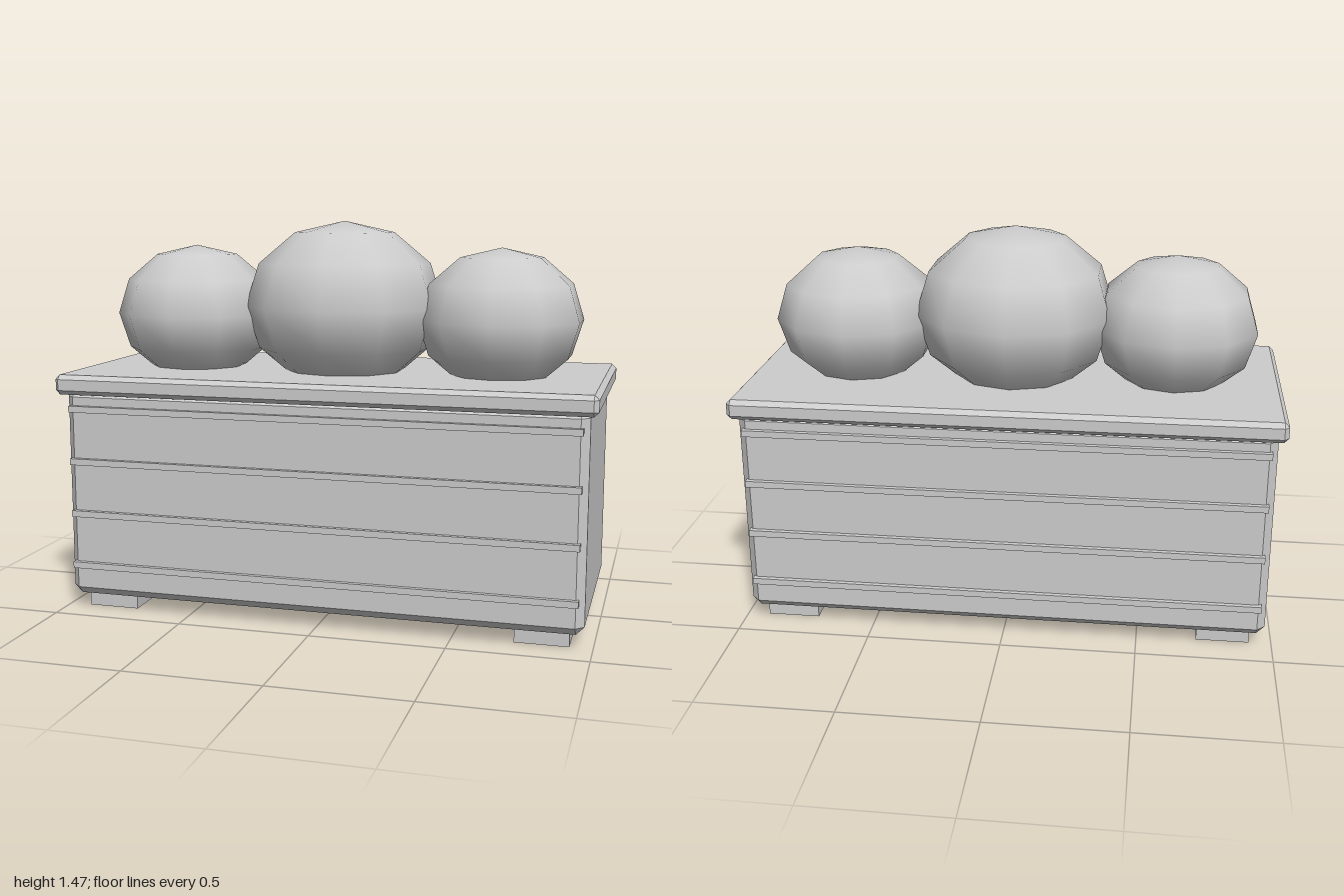
import * as THREE from 'three';
import { ConvexGeometry } from 'three/addons/geometries/ConvexGeometry.js';

// Box with flat chamfered edges: each corner becomes three points
function chamferBox(w, h, d, c) {
  const pts = [];
  for (const sx of [-1, 1]) for (const sy of [-1, 1]) for (const sz of [-1, 1]) {
    const x = w / 2, y = h / 2, z = d / 2;
    pts.push(
      new THREE.Vector3(sx * x, sy * (y - c), sz * (z - c)),
      new THREE.Vector3(sx * (x - c), sy * y, sz * (z - c)),
      new THREE.Vector3(sx * (x - c), sy * (y - c), sz * z)
    );
  }
  return new ConvexGeometry(pts);
}

export function createModel() {
  const group = new THREE.Group();
  group.name = 'planterBox';
  const grey = new THREE.MeshStandardMaterial({ color: 0xcccccc });
  grey.name = 'lightGrey';

  const add = (name, geometry, x, y, z) => {
    const mesh = new THREE.Mesh(geometry, grey);
    mesh.name = name;
    mesh.position.set(x, y, z);
    group.add(mesh);
    return mesh;
  };

  // Box body and overhanging rim
  add('body', chamferBox(1.94, 0.795, 0.85, 0.03), 0, 0.4525, 0);
  add('rim', chamferBox(2, 0.075, 0.91, 0.017), 0, 0.8675, 0);

  // Horizontal slats on front and back
  const slat = new THREE.BoxGeometry(1.9, 0.024, 0.036);
  for (const side of [1, -1])
    for (const y of [0.176, 0.376, 0.576, 0.776])
      add(side > 0 ? 'frontSlat' : 'backSlat', slat, 0, y, side * 0.425);

  // Four feet
  const foot = new THREE.BoxGeometry(0.195, 0.06, 0.195);
  for (const sx of [-1, 1])
    for (const sz of [-1, 1]) add('foot', foot, sx * 0.82, 0.03, sz * 0.275);

  // Rounded shrubs: ten-sided spheres with a vertex column facing front
  const shrub = new THREE.SphereGeometry(1, 10, 6).rotateY(Math.PI / 2);
  add('middleShrub', shrub, 0, 1.15, 0).scale.set(0.38, 0.32, 0.36);
  for (const s of [-1, 1])
    add(s > 0 ? 'leftShrub' : 'rightShrub', shrub, s * 0.6, 1.11, 0).scale.set(0.312, 0.265, 0.3);

  return group;
}
